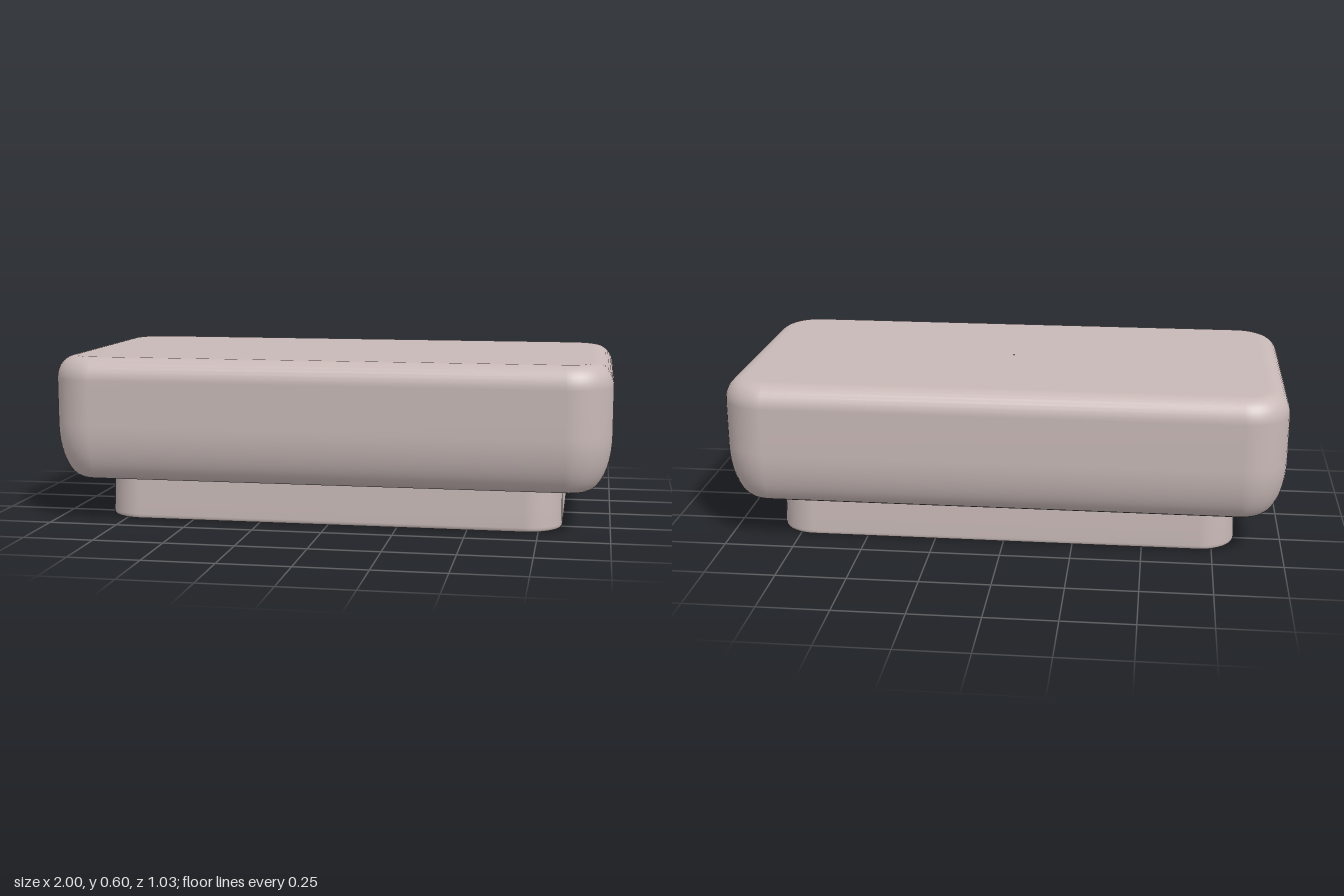
import * as THREE from 'three';

const CORNER_STEPS = 10;

// One rounded-rectangle outline at height y: half width, half depth, corner radius
function ring(hx, hz, r, y) {
  const pts = [];
  const corners = [[1, 1], [-1, 1], [-1, -1], [1, -1]];
  corners.forEach(([sx, sz], c) => {
    for (let i = 0; i <= CORNER_STEPS; i++) {
      const a = (c + i / CORNER_STEPS) * Math.PI / 2;
      pts.push([sx * (hx - r) + r * Math.cos(a), y, sz * (hz - r) + r * Math.sin(a)]);
    }
  });
  return pts;
}

// Skin a stack of outlines; faces point outward when going up, inward when going down
function loft(rings) {
  const n = rings[0].length;
  const index = [];
  for (let i = 0; i < rings.length - 1; i++) {
    for (let j = 0; j < n; j++) {
      const a = i * n + j, b = i * n + (j + 1) % n;
      index.push(a, a + n, b, b, a + n, b + n);
    }
  }
  const g = new THREE.BufferGeometry();
  g.setAttribute('position', new THREE.Float32BufferAttribute(rings.flat(2), 3));
  g.setIndex(index);
  g.computeVertexNormals();
  return g;
}

// Outline shrunk evenly by an inset
const inset = (hx, hz, r, d, y) => ring(hx - d, hz - d, Math.max(r - d, 0.005), y);

export function createModel() {
  const model = new THREE.Group();
  const clay = new THREE.MeshStandardMaterial({ color: 0xc8b9b7 });
  clay.name = 'pinkish clay';

  const add = (name, rings) => {
    const mesh = new THREE.Mesh(loft(rings), clay);
    mesh.name = name;
    model.add(mesh);
  };

  // Body: flat underside, tall soft lower curve, tighter top edge, flat top
  const body = (d, y) => inset(1, 0.516, 0.16, d, y);
  const shell = [ring(0.8, 0.35, 0.1, 0.155), body(0.1, 0.155)];
  for (let i = 0; i <= 10; i++) {
    const a = i / 10 * Math.PI / 2;
    shell.push(body(0.09 * (1 - Math.sin(a)), 0.355 - 0.2 * Math.cos(a)));
  }
  for (let i = 0; i <= 8; i++) {
    const a = i / 8 * Math.PI / 2;
    shell.push(body(0.07 * (1 - Math.cos(a)), 0.52 + 0.08 * Math.sin(a)));
  }
  shell.push(body(0.08, 0.6), ring(0.002, 0.002, 0.002, 0.6));
  add('body', shell);

  // Foot: slightly tapered outer wall with a rounded lower rim
  const foot = (d, y) => inset(0.832, 0.38, 0.13, d, y);
  add('foot', [
    foot(0.027, 0.012), foot(0.024, 0.004), foot(0.019, 0), foot(0.01, 0),
    foot(0.004, 0.003), foot(0.001, 0.008), foot(0, 0.016),
    foot(0.002, 0.08), foot(0.005, 0.158),
  ]);

  // Cavity: inner walls rising to a ceiling with rounded edges
  const cavity = [ring(0.002, 0.002, 0.002, 0.49), foot(0.09, 0.49)];
  for (let i = 0; i <= 6; i++) {
    const a = i / 6 * Math.PI / 2;
    cavity.push(foot(0.027 + 0.05 * (1 - Math.sin(a)), 0.44 + 0.05 * Math.cos(a)));
  }
  cavity.push(foot(0.027, 0.15), foot(0.027, 0.012));
  add('cavity', cavity);

  return model;
}
